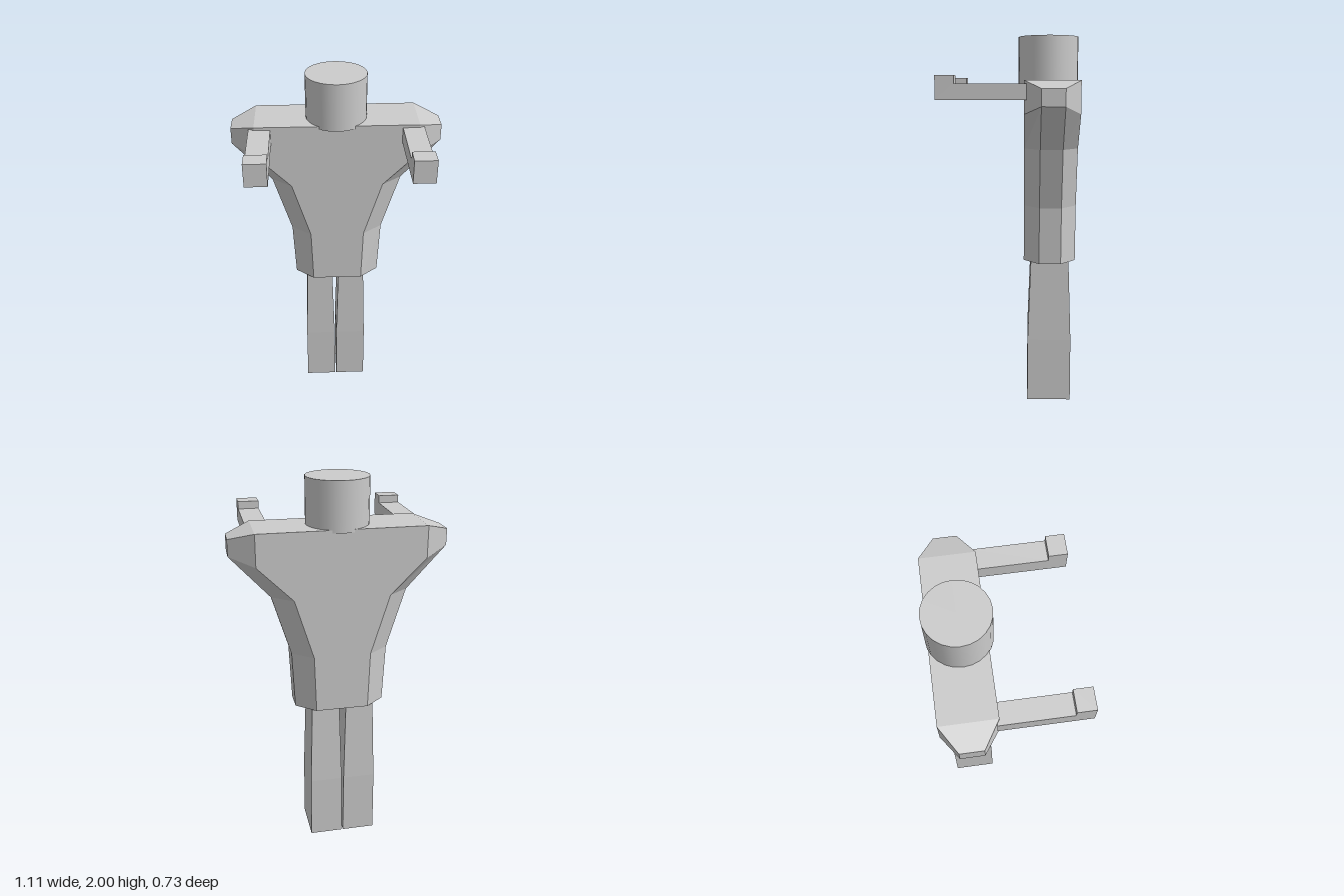
import * as THREE from 'three';

const material = new THREE.MeshStandardMaterial({ color: 0xcccccc, flatShading: true });
const smooth = new THREE.MeshStandardMaterial({ color: 0xcccccc });
const BODY_Z = -0.213;

// Skin between rings (bottom to top, counter-clockwise from above), closed by quads at both ends
function loft(rings, capQuads) {
  const pos = [];
  const quad = (a, b, c, d) => pos.push(...a, ...b, ...c, ...a, ...c, ...d);
  for (let r = 0; r < rings.length - 1; r++) {
    const lo = rings[r], hi = rings[r + 1], n = lo.length;
    for (let j = 0; j < n; j++) quad(lo[j], lo[(j + 1) % n], hi[(j + 1) % n], hi[j]);
  }
  const first = rings[0], last = rings[rings.length - 1];
  for (const [a, b, c, d] of capQuads) {
    quad(first[d], first[c], first[b], first[a]);
    quad(last[a], last[b], last[c], last[d]);
  }
  const geo = new THREE.BufferGeometry();
  geo.setAttribute('position', new THREE.Float32BufferAttribute(pos, 3));
  geo.computeVertexNormals();
  return geo;
}

function add(group, name, geo, x, y, z, mat = material) {
  const mesh = new THREE.Mesh(geo, mat);
  mesh.name = name;
  mesh.position.set(x, y, z);
  group.add(mesh);
  return mesh;
}

// Chamfered octagon: the face corners and the side corners have their own width and height
function torsoRing([inX, inY, outX, outY]) {
  const f = 0.14, s = 0.058;
  return [
    [inX, inY, f], [outX, outY, s], [outX, outY, -s], [inX, inY, -f],
    [-inX, inY, -f], [-outX, outY, -s], [-outX, outY, s], [-inX, inY, f],
  ];
}

function legRing([y, hx, hz]) {
  return [[-hx, y, hz], [hx, y, hz], [hx, y, -hz], [-hx, y, -hz]];
}

export function createModel() {
  const model = new THREE.Group();
  model.name = 'figure';

  // Torso flaring up to broad shoulders
  const torsoProfile = [
    [0.138, 0.8, 0.238, 0.8],
    [0.148, 1.105, 0.253, 1.105],
    [0.245, 1.42, 0.35, 1.42],
    [0.427, 1.6, 0.553, 1.64],
    [0.427, 1.765, 0.553, 1.725],
  ];
  const torsoCaps = [[0, 1, 2, 3], [0, 3, 4, 7], [4, 5, 6, 7]];
  add(model, 'torso', loft(torsoProfile.map(torsoRing), torsoCaps), -0.005, 0, BODY_Z);

  // Head
  add(model, 'head', new THREE.CylinderGeometry(0.161, 0.161, 0.25, 24), -0.005, 1.875, -0.203, smooth);

  // Arm profile with an upturned hand, drawn as (forward, up)
  const armShape = new THREE.Shape([
    [-0.085, 1.67], [0.363, 1.67], [0.363, 1.79], [0.27, 1.79], [0.27, 1.75], [-0.085, 1.75],
  ].map(([z, y]) => new THREE.Vector2(z, y)));
  const armGeo = new THREE.ExtrudeGeometry(armShape, { depth: 0.112, bevelEnabled: false });
  armGeo.translate(0, 0, -0.056).rotateY(-Math.PI / 2);

  // Legs, straight below and tapering towards the hip
  const legProfile = [[0, 0.088, 0.12], [0.35, 0.086, 0.119], [0.82, 0.073, 0.102]];
  const legGeo = loft(legProfile.map(legRing), [[0, 1, 2, 3]]);

  for (const [side, s] of [['left', 1], ['right', -1]]) {
    add(model, side + 'Arm', armGeo, -0.007 + s * 0.397, 0, 0);
    add(model, side + 'Leg', legGeo, -0.015 + s * 0.092, 0, -0.215);
  }
  return model;
}
